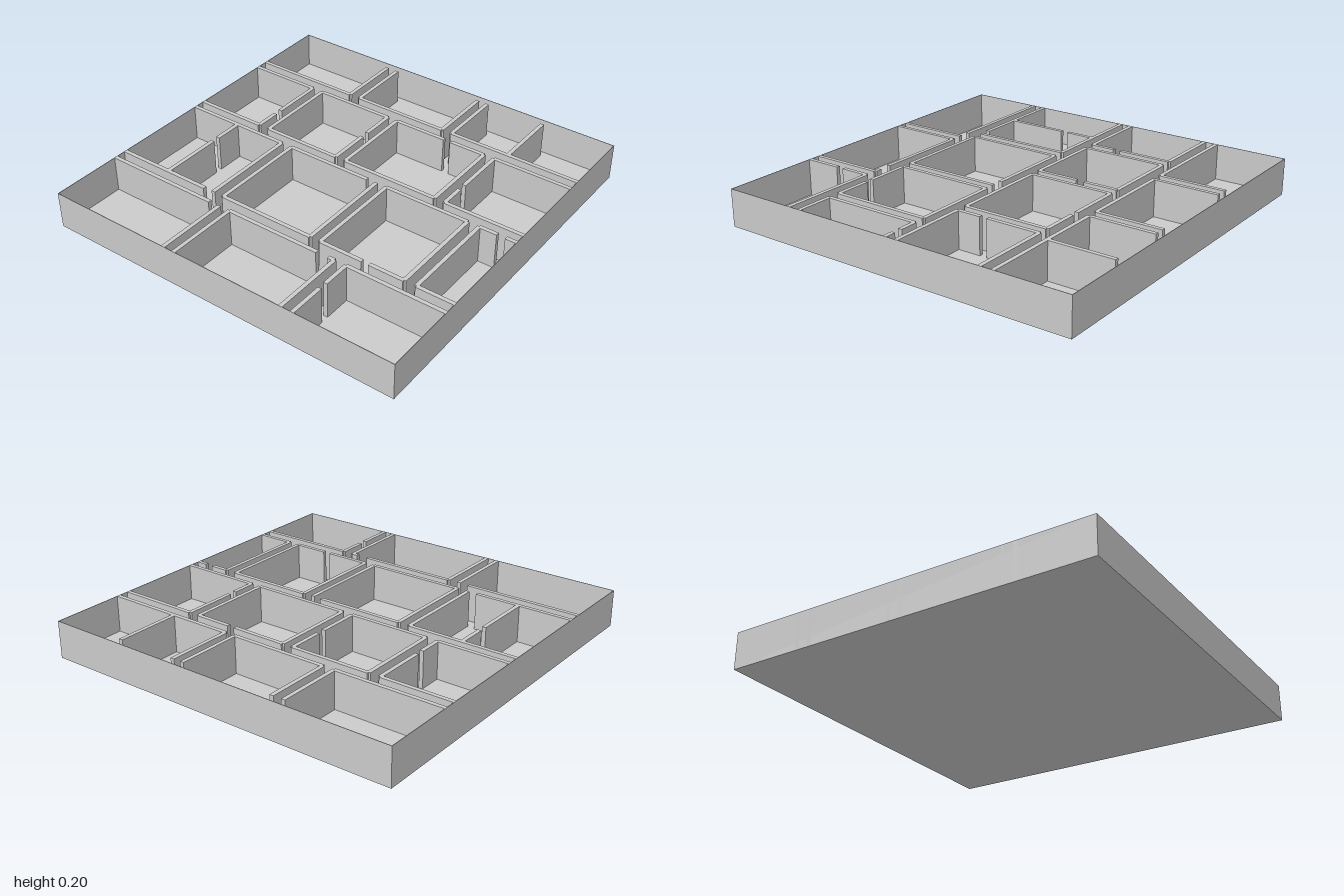
import * as THREE from 'three';

const H = 0.2; // wall height
const T = 0.022; // partition thickness

// Partitions running front to back: [x, [[z0, z1], ...]]
const longWalls = [
  [-0.605, [[-1, -0.36], [-0.235, 0.295], [0.36, 0.395], [0.46, 1]]],
  [-0.535, [[-1, -0.455], [-0.335, 0.2], [0.26, 0.5], [0.54, 0.73], [0.795, 1]]],
  [0, [[-1, -0.4], [-0.335, 0.145], [0.26, 0.73], [0.795, 0.895], [0.94, 1]]],
  [0.065, [[-1, -0.605], [-0.54, -0.1], [-0.04, 0.5], [0.56, 1]]],
  [0.53, [[-1, -0.605], [-0.54, -0.1], [-0.04, 0.26], [0.3, 0.5], [0.56, 1]]],
  [0.6, [[-1, -0.4], [-0.335, 0.2], [0.26, 1]]],
];

// Partitions running side to side: [[x0, x1] spans, z positions]
const crossWalls = [
  [[[-1, -0.605]], [-0.3, -0.235, 0.395]],
  [[[-1, -0.8], [-0.76, -0.605]], [0.46]],
  [[[-0.535, -0.2], [-0.16, 0]], [-0.7]],
  [[[-0.535, 0]], [-0.4, -0.335, 0.2, 0.26, 0.73, 0.795]],
  [[[0.065, 0.2], [0.24, 0.53]], [-0.605, 0.56]],
  [[[0.065, 0.295], [0.34, 0.53]], [-0.1]],
  [[[0.065, 0.53]], [-0.54, -0.04, 0.5]],
  [[[0.6, 0.96]], [-0.4, -0.335, 0.2, 0.26, 0.6]],
];

export function createModel() {
  const model = new THREE.Group();
  model.name = 'floorPlan';
  const material = new THREE.MeshStandardMaterial({ color: 0xcccccc });

  function box(parent, name, x0, x1, y0, y1, z0, z1) {
    const mesh = new THREE.Mesh(new THREE.BoxGeometry(x1 - x0, y1 - y0, z1 - z0), material);
    mesh.position.set((x0 + x1) / 2, (y0 + y1) / 2, (z0 + z1) / 2);
    mesh.name = name;
    parent.add(mesh);
  }

  // Floor slab
  box(model, 'floor', -1, 1, 0, 0.003, -1, 1);

  // Thin outer walls
  const outer = new THREE.Group();
  outer.name = 'outerWalls';
  const t = 0.003;
  box(outer, 'frontWall', -1, 1, 0, H, 1 - t, 1);
  box(outer, 'backWall', -1, 1, 0, H, -1, -1 + t);
  box(outer, 'leftWall', 1 - t, 1, 0, H, -1, 1);
  box(outer, 'rightWall', -1, -1 + t, 0, H, -1, 1);
  model.add(outer);

  // Room partitions with door gaps
  const rooms = new THREE.Group();
  rooms.name = 'partitions';
  for (const [x, spans] of longWalls)
    for (const [z0, z1] of spans) box(rooms, 'longPartition', x - T / 2, x + T / 2, 0, H, z0, z1);
  for (const [spans, rows] of crossWalls)
    for (const z of rows)
      for (const [x0, x1] of spans) box(rooms, 'crossPartition', x0, x1, 0, H, z - T / 2, z + T / 2);
  model.add(rooms);

  // Small marker in the middle corridor
  const marker = new THREE.Mesh(new THREE.CapsuleGeometry(0.011, 0.03, 4, 12), material);
  marker.position.set(0.04, 0.028, 0);
  marker.name = 'marker';
  model.add(marker);

  return model;
}
